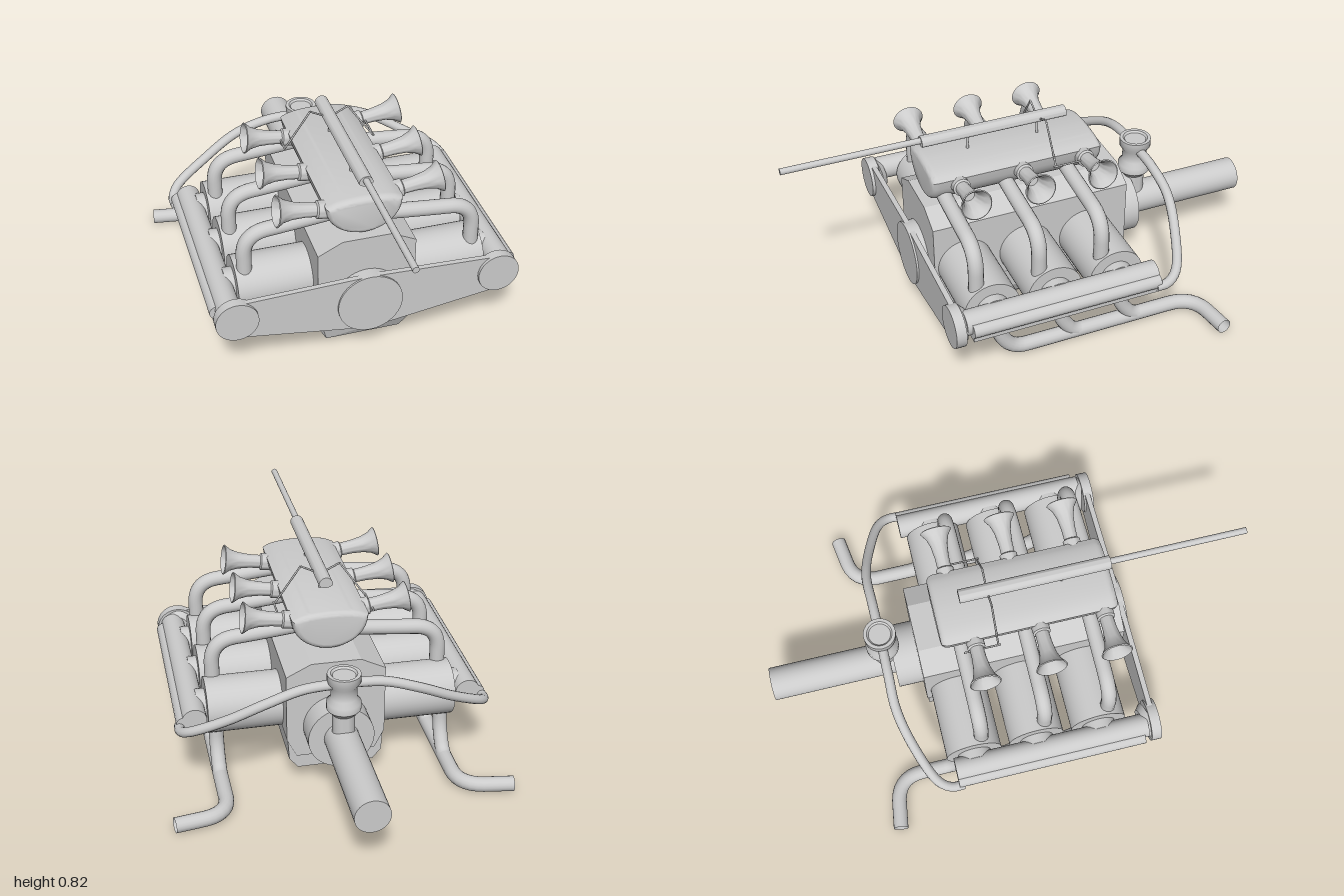
import * as THREE from 'three';
import { toCreasedNormals } from 'three/addons/utils/BufferGeometryUtils.js';

const mat = new THREE.MeshStandardMaterial({ color: 0xcccccc });
const openMat = new THREE.MeshStandardMaterial({ color: 0xcccccc, side: THREE.DoubleSide });
const V = (p) => new THREE.Vector3(...p);
const UP = new THREE.Vector3(0, 1, 0);

export function createModel() {
  const group = new THREE.Group();

  function add(name, geometry, material = mat) {
    const mesh = new THREE.Mesh(geometry, material);
    mesh.name = name;
    group.add(mesh);
    return mesh;
  }

  // Round bar between two points; r1 may differ for a taper
  function rod(name, a, b, r, r1 = r, sides = 32) {
    const from = V(a), dir = V(b).sub(from);
    const mesh = add(name, new THREE.CylinderGeometry(r1, r, dir.length(), sides));
    mesh.position.copy(from).addScaledVector(dir, 0.5);
    mesh.quaternion.setFromUnitVectors(UP, dir.normalize());
    return mesh;
  }

  // Pipe with straight runs and rounded corners
  function pipe(name, pts, r, bend) {
    const p = pts.map(V), path = new THREE.CurvePath();
    let last = p[0];
    for (let i = 1; i < p.length - 1; i++) {
      const into = p[i].clone().sub(p[i - 1]), out = p[i + 1].clone().sub(p[i]);
      const b = Math.min(bend, into.length() * 0.49, out.length() * 0.49);
      const s = p[i].clone().addScaledVector(into.normalize(), -b);
      const e = p[i].clone().addScaledVector(out.normalize(), b);
      path.add(new THREE.LineCurve3(last, s));
      path.add(new THREE.QuadraticBezierCurve3(s, p[i], e));
      last = e;
    }
    path.add(new THREE.LineCurve3(last, p[p.length - 1]));
    return add(name, new THREE.TubeGeometry(path, 48, r, 16), openMat);
  }

  // Outline in x and y, extruded from z0 to z1
  function slab(points, z0, z1) {
    const shape = new THREE.Shape(points.map(([x, y]) => new THREE.Vector2(x, y)));
    return new THREE.ExtrudeGeometry(shape, { depth: z1 - z0, bevelEnabled: false }).translate(0, 0, z0);
  }

  // Crankcase with chamfered top
  add('crankcase', slab([[-0.2, 0.21], [-0.16, 0.13], [0.16, 0.13], [0.2, 0.21], [0.2, 0.5],
    [0.1, 0.55], [-0.1, 0.55], [-0.2, 0.5]], -0.375, 0.47));

  // Oil pan: underside rises to the rear and its front edge is cut back
  const pan = slab([[-0.195, 0.2], [-0.19, 0.115], [-0.155, 0.037], [0.155, 0.037],
    [0.19, 0.115], [0.195, 0.2]], -0.37, 0.46);
  const pp = pan.attributes.position;
  for (let i = 0; i < pp.count; i++) {
    if (pp.getY(i) > 0.05) continue;
    if (pp.getZ(i) < 0) pp.setY(i, 0.072);
    else pp.setZ(i, 0.425);
  }
  pan.computeVertexNormals();
  add('oilPan', pan);

  // Crank housing and output shaft
  rod('crankHousing', [0, 0.265, -0.48], [0, 0.265, 0.525], 0.133, 0.133, 48);
  rod('outputShaft', [0, 0.265, -1], [0, 0.265, -0.45], 0.07);

  // Intake plenum: shallow domed lid over a rounded trough
  const section = new THREE.Shape();
  section.moveTo(-0.13, 0.675);
  section.quadraticCurveTo(-0.1, 0.692, 0, 0.694);
  section.quadraticCurveTo(0.1, 0.692, 0.13, 0.675);
  section.bezierCurveTo(0.125, 0.61, 0.06, 0.573, 0, 0.573);
  section.bezierCurveTo(-0.06, 0.573, -0.125, 0.61, -0.13, 0.675);
  const plenum = new THREE.ExtrudeGeometry(section, {
    depth: 0.665, bevelThickness: 0.03, bevelSize: 0.023, bevelSegments: 5, curveSegments: 12,
  }).translate(0, 0, -0.25);
  add('intakePlenum', toCreasedNormals(plenum, 0.7));

  // Top rail with half-round section, and its thin forward rod
  const rail = new THREE.Shape();
  rail.moveTo(-0.028, 0.785);
  rail.quadraticCurveTo(-0.02, 0.773, 0, 0.773);
  rail.quadraticCurveTo(0.02, 0.773, 0.028, 0.785);
  rail.absarc(0, 0.788, 0.028, 0, Math.PI, false);
  add('topRail', toCreasedNormals(new THREE.ExtrudeGeometry(rail,
    { depth: 0.615, bevelEnabled: false }).translate(0, 0, -0.175), 0.7));
  rod('forwardRod', [0, 0.798, 0.4], [0, 0.798, 1], 0.013, 0.013, 16);
  for (const z of [0.245, -0.055]) rod('railPost', [0, 0.69, z], [0, 0.785, z], 0.006, 0.006, 8);

  // Distributor: neck, cup and rim
  const cup = [[0, 0.3], [0.045, 0.3], [0.045, 0.4], [0.068, 0.425], [0.068, 0.455], [0.052, 0.475],
    [0.052, 0.525], [0.066, 0.545], [0.066, 0.578], [0.052, 0.578], [0.045, 0.57], [0, 0.57]];
  const cupGeo = new THREE.LatheGeometry(cup.map(([x, y]) => new THREE.Vector2(x, y)), 32);
  add('distributor', toCreasedNormals(cupGeo, 0.7), openMat).position.z = -0.51;

  // Trumpet profile, hollow at the mouth
  const trumpet = [[0, 0], [0.036, 0], [0.036, 0.05], [0.028, 0.055], [0.029, 0.1], [0.035, 0.15],
    [0.046, 0.185], [0.064, 0.21], [0.06, 0.213], [0.042, 0.187], [0.03, 0.155], [0.025, 0.12], [0, 0.12]]
    .map(([x, y]) => new THREE.Vector2(x, y));

  for (const s of [1, -1]) {
    const cylZ = s > 0 ? [0.34, 0.075, -0.19] : [0.29, 0.025, -0.24];
    const runZ = s > 0 ? [0.39, 0.128, -0.138] : [0.333, 0.065, -0.2];
    const hornZ = s > 0 ? [0.335, 0.07, -0.195] : [0.385, 0.12, -0.147];

    for (let i = 0; i < 3; i++) {
      const z = cylZ[i];
      rod('cylinder', [s * 0.15, 0.303, z], [s * 0.502, 0.303, z], 0.115, 0.115, 40);
      rod('cylinderHead', [s * 0.49, 0.303, z], [s * 0.54, 0.303, z], 0.068);
      pipe('intakeRunner', [[s * 0.06, 0.605, runZ[i]], [s * 0.24, 0.585, runZ[i]],
        [s * 0.462, 0.565, runZ[i]], [s * 0.462, 0.36, runZ[i]]], 0.031, 0.12);

      const horn = add('intakeTrumpet', toCreasedNormals(new THREE.LatheGeometry(trumpet, 28), 0.6), openMat);
      horn.position.set(s * 0.13, 0.655, hornZ[i]);
      horn.quaternion.setFromUnitVectors(UP, V([s, 0.15, 0]).normalize());

      // Rear two exhaust branches join the collector
      if (i > 0) pipe('exhaustBranch', [[s * 0.465, 0.24, z - 0.03], [s * 0.465, 0.13, z - 0.035],
        [s * 0.465, 0.036, z - 0.1], [s * 0.465, 0.036, z - 0.19]], 0.03, 0.1);
    }

    // Collector runs from the front branch to the swept outlet
    const fz = cylZ[0];
    pipe('exhaustCollector', [[s * 0.465, 0.24, fz - 0.03], [s * 0.465, 0.13, fz - 0.035],
      [s * 0.465, 0.036, fz - 0.1], [s * 0.465, 0.036, -0.3], [s * 0.465, 0.036, -0.575],
      [s * 0.683, 0.036, -0.608]], 0.031, 0.12);

    // Cam cover tube, side strips and front cap
    rod('camCover', [s * 0.56, 0.32, -0.33], [s * 0.56, 0.32, 0.48], 0.05);
    rod('camCoverStrip', [s * 0.603, 0.31, -0.33], [s * 0.603, 0.31, 0.46], 0.03, 0.03, 16);
    const flange = add('camCoverFlange', new THREE.BoxGeometry(0.05, 0.025, 0.79));
    flange.position.set(s * 0.593, 0.278, 0.065);
    rod('camCapCollar', [s * 0.545, 0.3, 0.465], [s * 0.54, 0.3, 0.49], 0.06, 0.08);
    rod('camCap', [s * 0.538, 0.3, 0.488], [s * 0.538, 0.3, 0.53], 0.086, 0.086, 40);

    // Tapered belt guard from crank to cam cap
    const guard = [[0, 0.135], [0.538, 0.215], [0.538, 0.375], [0, 0.395]].map(([x, y]) => [x * s, y]);
    add('beltGuard', slab(guard, 0.495, 0.517));

    // Distributor hose to the rear of the cam cover
    const hose = new THREE.CatmullRomCurve3([[0, 0.535, -0.51], [0.16, 0.525, -0.512], [0.3, 0.48, -0.512],
      [0.45, 0.4, -0.475], [0.59, 0.325, -0.41], [0.62, 0.3, -0.36], [0.62, 0.295, -0.31]]
      .map(([x, y, z]) => V([x * s, y, z])));
    add('distributorHose', new THREE.TubeGeometry(hose, 40, 0.02, 12), openMat);

    // Bent linkage wire
    rod('linkageArm', [0, 0.78, -0.06], [s * 0.08, 0.82, -0.06], 0.004, 0.004, 6);
    rod('linkageArm', [s * 0.08, 0.82, -0.06], [s * 0.19, 0.66, -0.06], 0.004, 0.004, 6);
    rod('linkagePin', [s * 0.19, 0.665, -0.2], [s * 0.19, 0.665, -0.05], 0.004, 0.004, 6);
  }
  return group;
}
